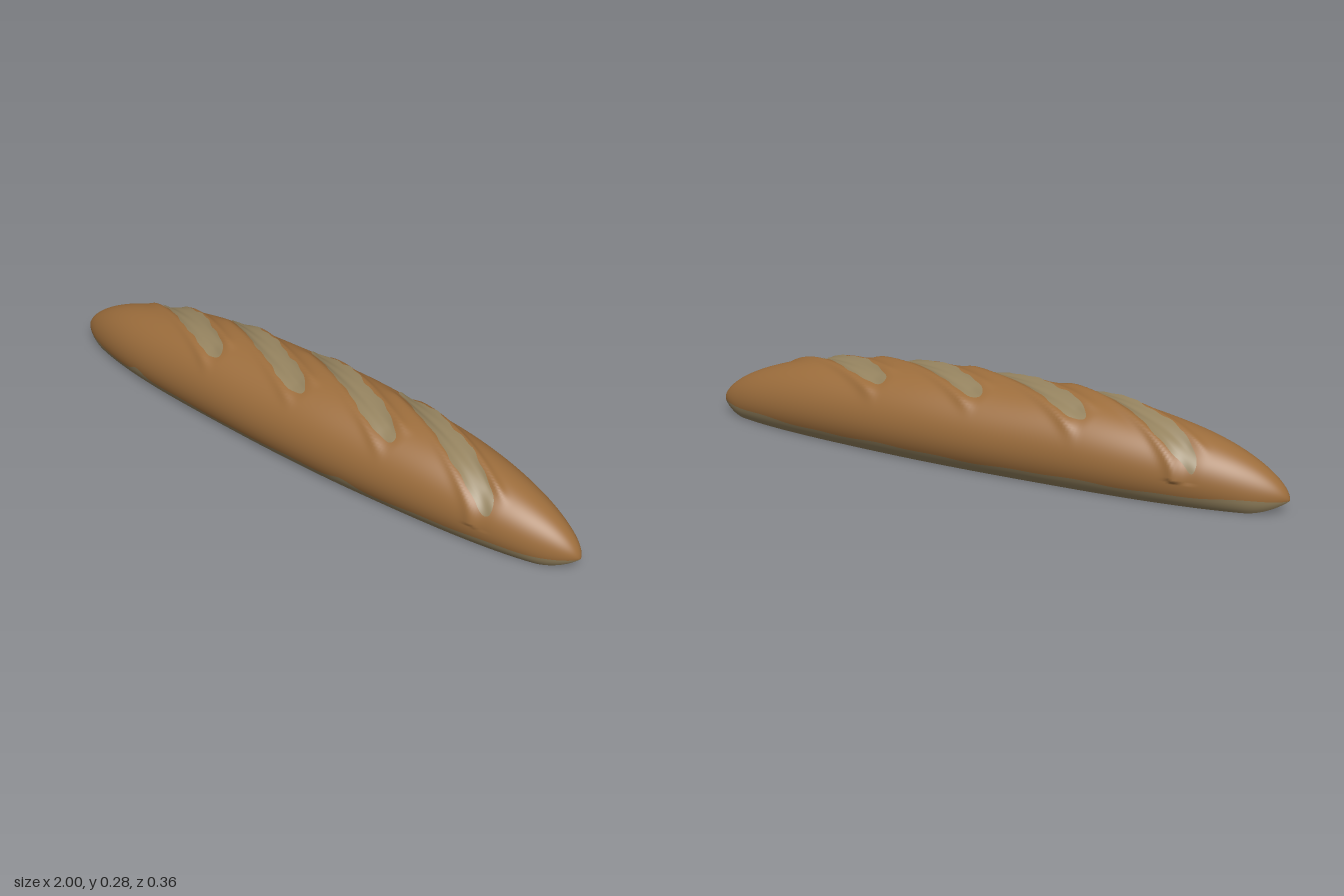
import * as THREE from 'three';

const PHI = 0.77; // angle below the widest line where the side meets the flat underside

// Lengthwise profile of the loaf
function profile(x) {
  const a = Math.min(1, Math.abs(x));
  const base = 0.04 * Math.max(0, (a - 0.88) / 0.12) ** 2;
  const top = 0.04 + 0.233 * Math.pow(1 - a ** 2.6, 0.6) * (1 + 0.008 * Math.sin(13 * x));
  const w = 0.178 * Math.pow(1 - a ** 2.4, 0.6) * (1 + 0.012 * Math.sin(8 * x + 1));
  return { base, top, w, yc: base + 0.4 * (top - base) };
}

// Four diagonal slashes across the top
const slashes = [-0.515, -0.17, 0.175, 0.52].map((cx, i) => ({ cx, cz: -0.004, seed: i * 1.7 }));
const HALF = 0.262;
const DIR = new THREE.Vector2(0.47, 0.205).normalize();
const slashWidth = (s, seed) =>
  0.034 * Math.pow(Math.max(0, 1 - s ** 4), 0.5) * (1 + 0.07 * Math.sin(9 * s + seed) + 0.05 * Math.sin(23 * s + seed));

// Sunken grooves with raised lips
function relief(x, z) {
  let d = 0;
  for (const { cx, cz } of slashes) {
    const dx = x - cx, dz = z - cz;
    const s = (dx * DIR.x + dz * DIR.y) / HALF;
    const t = -dx * DIR.y + dz * DIR.x;
    const mask = 1 - THREE.MathUtils.smoothstep(Math.abs(s), 0.8, 1.08);
    const lip = Math.exp(-(((Math.abs(t) - 0.041) / 0.012) ** 2)) * (t < 0 ? 0.009 : 0.006);
    d += mask * (lip - 0.008 * Math.exp(-((t / 0.026) ** 2)));
  }
  return d;
}

// Point on the loaf: angle 0 is the top, positive toward the front
function surface(x, ang, lift = 0) {
  const { base, top, w, yc } = profile(x);
  const phi = Math.abs(ang) - Math.PI / 2;
  const z = w * Math.sin(ang);
  if (phi > 0) return [x, yc - (yc - base) * Math.sin(phi) / Math.sin(PHI), z];
  const d = relief(x, z) + lift;
  return [x, yc + (top - yc) * Math.cos(ang) + d * Math.cos(ang), z + d * Math.sin(ang)];
}

// Wavy line where the crust ends and the pale base begins
function crustEdge(x, side) {
  const { base, yc } = profile(x);
  let y = 0.041 + 0.003 * Math.sin(11 * x + side) + 0.002 * Math.sin(27 * x);
  if (side > 0) y += 0.025 * Math.exp(-(((x + 0.63) / 0.04) ** 2)) + 0.02 * Math.exp(-(((x - 0.27) / 0.05) ** 2));
  const k = THREE.MathUtils.clamp((yc - y) / Math.max(1e-4, yc - base), 0, 0.95);
  return side * (Math.PI / 2 + Math.asin(k * Math.sin(PHI)));
}

// Smooth sheet from a rule fn(u, v)
function sheet(nu, nv, fn) {
  const pos = [], idx = [];
  for (let i = 0; i <= nu; i++)
    for (let j = 0; j <= nv; j++) {
      pos.push(...fn(i / nu, j / nv));
      if (i < nu && j < nv) {
        const a = i * (nv + 1) + j, b = a + nv + 1;
        idx.push(a, a + 1, b, a + 1, b + 1, b);
      }
    }
  const g = new THREE.BufferGeometry();
  g.setAttribute('position', new THREE.Float32BufferAttribute(pos, 3));
  g.setIndex(idx);
  g.computeVertexNormals();
  return g;
}

export function createModel() {
  const crust = new THREE.MeshStandardMaterial({ color: 0x9c6d3c });
  crust.name = 'golden crust';
  const crumb = new THREE.MeshStandardMaterial({ color: 0x95835f });
  crumb.name = 'pale crumb';
  const loaf = new THREE.Group();
  loaf.name = 'breadLoaf';
  const add = (name, geometry, material) => {
    const mesh = new THREE.Mesh(geometry, material);
    mesh.name = name;
    loaf.add(mesh);
  };
  const along = u => -Math.cos(Math.PI * u);
  const lerp = THREE.MathUtils.lerp;
  const N = 280, END = Math.PI / 2 + PHI;

  // Crust over the top and sides
  add('crust', sheet(N, 90, (u, v) => {
    const x = along(u);
    return surface(x, lerp(crustEdge(x, -1), crustEdge(x, 1), v));
  }), crust);

  // Pale lower sides
  add('frontBaseEdge', sheet(N, 5, (u, v) => surface(along(u), lerp(crustEdge(along(u), 1), END, v))), crumb);
  add('backBaseEdge', sheet(N, 5, (u, v) => surface(along(u), lerp(-END, crustEdge(along(u), -1), v))), crumb);

  // Flat underside
  add('underside', sheet(N, 2, (u, v) => {
    const { base, w } = profile(along(u));
    return [along(u), base, w * Math.cos(PHI) * (1 - 2 * v)];
  }), crumb);

  // Exposed crumb inside each slash
  for (const { cx, cz, seed } of slashes)
    add('slash', sheet(70, 10, (u, v) => {
      const s = -Math.cos(Math.PI * u);
      const t = slashWidth(s, seed) * (2 * v - 1);
      const x = cx + s * HALF * DIR.x - t * DIR.y;
      const { w } = profile(x);
      const z = cz + s * HALF * DIR.y + t * DIR.x;
      const ripple = 0.001 * Math.sin(60 * t / 0.034 * 0.1 + 4 * s + seed);
      return surface(x, Math.asin(THREE.MathUtils.clamp(z / w, -0.985, 0.985)), 0.004 + ripple);
    }), crumb);

  return loaf;
}
